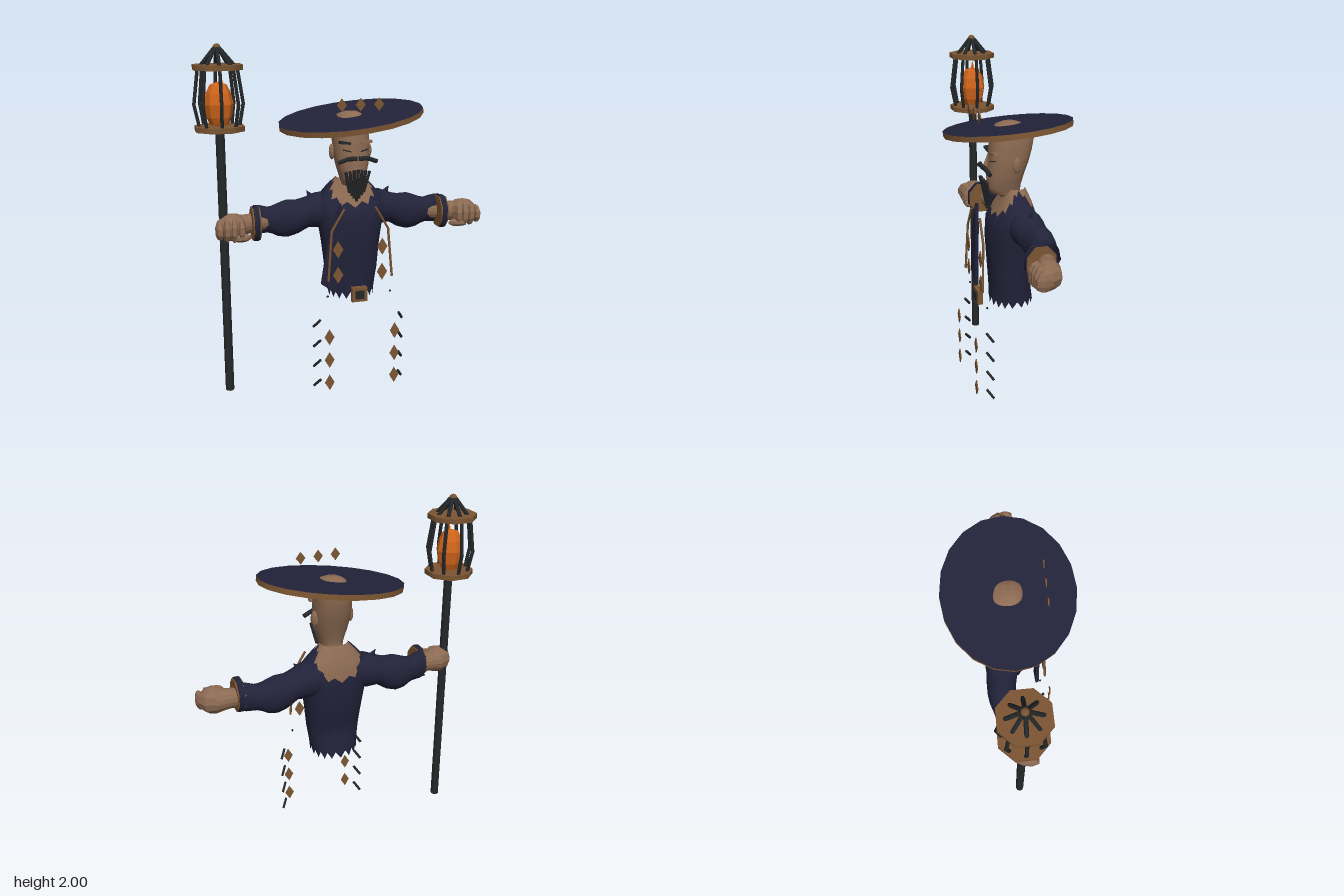
import * as THREE from 'three';

const CX = 0.04; // the figure's own middle line
const mat = (name, color, extra = {}) => Object.assign(new THREE.MeshStandardMaterial({ color, ...extra }), { name });

export function createModel() {
  const root = new THREE.Group();
  root.name = 'lanternBearer';
  const navy = mat('navy cloth', 0x22223a, { side: THREE.DoubleSide });
  const brown = mat('bronze', 0x7c5633);
  const skin = mat('skin', 0x8c6a52);
  const skinFlat = mat('skin', 0x8c6a52, { flatShading: true });
  const black = mat('black iron', 0x25282a);
  const fire = mat('flame', 0xd0651c, { flatShading: true });

  const add = (name, geo, m, x = 0, y = 0, z = 0, parent = root) => {
    const mesh = new THREE.Mesh(geo, m);
    mesh.name = name;
    mesh.position.set(x, y, z);
    parent.add(mesh);
    return mesh;
  };
  const V = (x, y, z) => new THREE.Vector3(x, y, z);

  // straight rod between two points
  const rod = (name, a, b, r, m, sides = 6, parent = root) => {
    const mesh = add(name, new THREE.CylinderGeometry(r, r, a.distanceTo(b), sides), m, 0, 0, 0, parent);
    mesh.position.copy(a).add(b).multiplyScalar(0.5);
    mesh.quaternion.setFromUnitVectors(V(0, 1, 0), b.clone().sub(a).normalize());
    return mesh;
  };

  // closed tube of points f(angle, t)
  const loft = (f, nu, nv) => {
    const pos = [], idx = [];
    for (let j = 0; j <= nv; j++)
      for (let i = 0; i < nu; i++) pos.push(...f((i / nu) * Math.PI * 2, j / nv, i));
    for (let j = 0; j < nv; j++)
      for (let i = 0; i < nu; i++) {
        const a = j * nu + i, b = j * nu + (i + 1) % nu;
        idx.push(a, b, b + nu, a, b + nu, a + nu);
      }
    const g = new THREE.BufferGeometry();
    g.setAttribute('position', new THREE.Float32BufferAttribute(pos, 3));
    g.setIndex(idx);
    g.computeVertexNormals();
    return g;
  };

  // linear lookup in rows sorted by their first number
  const sample = (rows, k) => {
    let i = 0;
    while (i < rows.length - 2 && k > rows[i + 1][0]) i++;
    const a = rows[i], b = rows[i + 1];
    const t = THREE.MathUtils.clamp((k - a[0]) / (b[0] - a[0]), 0, 1);
    return a.map((v, n) => v + (b[n] - v) * t);
  };

  // rows: height, half width, front z, back z
  const ringPoint = (row, th, s = 1) => {
    const [y, w, f, b] = row;
    const pw = v => Math.sign(v) * Math.abs(v) ** 0.85;
    return [CX + pw(Math.sin(th)) * w * s, y, (f + b) / 2 + pw(Math.cos(th)) * (f - b) / 2 * s];
  };

  // torso with a torn hem and a neckline dipping at front and back
  const body = [
    [0.53, 0.135, 0.11, -0.145], [0.6, 0.14, 0.106, -0.135], [0.7, 0.155, 0.11, -0.12], [0.85, 0.17, 0.12, -0.152],
    [0.95, 0.185, 0.125, -0.165], [1.05, 0.205, 0.115, -0.165], [1.12, 0.195, 0.08, -0.15],
    [1.18, 0.14, 0.05, -0.13], [1.24, 0.085, 0.03, -0.1]];
  add('coat', loft((th, t, i) => {
    const c = Math.abs(Math.cos(th));
    const hem = 0.55 + (i % 2 ? 0.025 : -0.015);
    const top = 1.235 - (Math.cos(th) > 0 ? 0.14 : 0.18) * c ** 1.5 + (i % 2 ? 0.015 : -0.015);
    return ringPoint(sample(body, hem + (top - hem) * t), th);
  }, 36, 20), navy);
  add('chest', loft((th, t) => ringPoint(sample(body, 0.95 + 0.29 * t), th, 0.93), 28, 12), skin);

  // neck and head
  const head = [
    [1.12, 0.1, 0.05, -0.13], [1.17, 0.075, 0.04, -0.1], [1.2, 0.066, 0.045, -0.08], [1.215, 0.062, 0.1, -0.072],
    [1.25, 0.072, 0.12, -0.072], [1.32, 0.092, 0.12, -0.09], [1.4, 0.103, 0.112, -0.118], [1.46, 0.103, 0.108, -0.135],
    [1.53, 0.1, 0.098, -0.148], [1.57, 0.09, 0.088, -0.138], [1.6, 0.073, 0.068, -0.095], [1.616, 0.04, 0.03, -0.05],
    [1.62, 0.002, 0, -0.004]];
  add('head', loft((th, t) => {
    const k = t * (head.length - 1), i = Math.min(Math.floor(k), head.length - 2);
    return ringPoint(head[i].map((v, n) => v + (head[i + 1][n] - v) * (k - i)), th);
  }, 28, (head.length - 1) * 2), skin);
  const nose = add('nose', new THREE.ConeGeometry(0.024, 0.1, 4), skinFlat, CX, 1.4, 0.122);
  nose.rotation.x = -0.15;
  add('lips', new THREE.SphereGeometry(0.025, 8, 6), skin, CX, 1.305, 0.108).scale.set(1.2, 0.5, 0.7);

  for (const s of [-1, 1]) {
    const ear = add('ear', new THREE.SphereGeometry(0.04, 8, 6), skinFlat, CX + s * 0.107, 1.39, -0.02);
    ear.scale.set(0.45, 1.15, 0.7);
    ear.rotation.y = s * 0.4;
    add('brow', new THREE.BoxGeometry(0.065, 0.014, 0.03), s < 0 ? black : skin, CX + s * 0.062, 1.455, 0.096).rotation.z = s * 0.12;
    add('eye', new THREE.BoxGeometry(0.05, 0.006, 0.009), black, CX + s * 0.05, 1.41, 0.102).rotation.set(0, s * 0.35, s * 0.2);
    rod('moustache', V(CX + s * 0.006, 1.372, 0.15), V(CX + s * 0.055, 1.372, 0.145), 0.014, black);
    rod('moustacheTip', V(CX + s * 0.05, 1.374, 0.146), V(CX + s * 0.113, 1.35, 0.135), 0.013, black);
  }
  // beard strands drawn together toward the tip
  for (let i = -3; i <= 3; i++)
    rod('beardStrand', V(CX + i * 0.023, 1.31 - Math.abs(i) * 0.004, 0.152 - Math.abs(i) * 0.003),
      V(CX + i * 0.014, 1.125 + Math.abs(i) * 0.017, 0.12), 0.009, black);

  // tilted straw hat: bronze edge, cloth faces
  const hat = add('hat', new THREE.CylinderGeometry(0.415, 0.415, 0.03, 20), [brown, navy, navy], CX, 1.585, 0);
  hat.rotation.set(0.08, 0, 0.125);
  hat.scale.z = 0.86;

  // thin diamond ornaments
  const diamond = (x, y, z, w, h) => {
    const shape = new THREE.Shape([[0, -h], [w, 0], [0, h], [-w, 0]].map(p => new THREE.Vector2(...p)));
    add('diamond', new THREE.ExtrudeGeometry(shape, { depth: 0.006, bevelEnabled: false }), brown, x, y, z - 0.003);
  };
  for (const dx of [-0.105, 0, 0.105]) diamond(CX + dx, 1.675, 0.19, 0.028, 0.036);

  // arms: reach, centre y, centre z, half height, half depth
  const sleeve = [
    [0.1, 1.05, -0.05, 0.1, 0.1], [0.19, 1.045, -0.055, 0.105, 0.1], [0.25, 1.035, -0.06, 0.09, 0.09],
    [0.3, 1.01, -0.07, 0.1, 0.085], [0.37, 1, -0.075, 0.112, 0.08], [0.42, 0.995, -0.075, 0.098, 0.072],
    [0.47, 1, -0.07, 0.075, 0.06], [0.53, 1.01, -0.06, 0.085, 0.058], [0.57, 1.01, -0.05, 0.088, 0.06]];
  const forearm = [
    [0.45, 1, -0.06, 0.05, 0.04], [0.58, 1, -0.025, 0.055, 0.05], [0.63, 0.995, -0.01, 0.06, 0.058], [0.7, 0.99, 0, 0.07, 0.07]];
  const limb = (rows, s, torn) => loft((th, t, i) => {
    const a0 = rows[0][0], a1 = rows[rows.length - 1][0];
    const [a, cy, cz, ry, rz] = sample(rows, a0 + (a1 - a0) * t);
    const rag = torn && t === 1 && i % 2 ? 0.03 : 0;
    return [CX + s * (a - rag), cy + ry * Math.cos(th), cz + s * rz * Math.sin(th)];
  }, 16, 16);

  for (const s of [-1, 1]) {
    const arm = new THREE.Group();
    arm.name = s > 0 ? 'leftArm' : 'rightArm';
    root.add(arm);
    add('sleeve', limb(sleeve, s, true), navy, 0, 0, 0, arm);
    add('forearm', limb(forearm, s, false), skinFlat, 0, 0, 0, arm);
    // pointed shoulder tip
    const tip = add('shoulderTip', new THREE.ConeGeometry(0.06, 0.13, 5), navy, CX + s * 0.215, 1.11, -0.06, arm);
    tip.rotation.z = -s * 0.6;
    // wrist guard
    for (const [dx, w, r, m] of [[0, 0.03, 0.102, navy], [-0.018, 0.01, 0.098, brown], [0.018, 0.01, 0.098, brown]]) {
      const band = add('cuff', new THREE.CylinderGeometry(r, r, w, 8).rotateY(Math.PI / 8).rotateZ(Math.PI / 2), m,
        CX + s * (0.56 + dx), 1.003, 0, arm);
      band.scale.z = 0.88;
    }
    // fist
    add('palm', new THREE.SphereGeometry(1, 8, 6), skinFlat, CX + s * 0.695, 0.993, 0.01, arm).scale.set(0.095, 0.08, 0.075);
    for (let i = 0; i < 4; i++) {
      const h = [0.066, 0.075, 0.07, 0.055][i];
      add('finger', new THREE.SphereGeometry(1, 6, 5), skinFlat, CX + s * (0.648 + i * 0.04), 0.985, 0.05, arm)
        .scale.set(0.026, h, 0.055);
    }
    const thumb = add('thumb', new THREE.SphereGeometry(1, 6, 5), skinFlat, CX + s * 0.65, 0.94, 0.06, arm);
    thumb.scale.set(0.06, 0.025, 0.035);

    // coat edging and ornaments
    const edge = [V(CX + s * 0.09, 1.1, 0.19), V(CX + s * 0.165, 0.975, 0.193), V(CX + s * 0.188, 0.69, 0.205)];
    rod('coatTrim', edge[0], edge[1], 0.007, brown);
    rod('coatTrim', edge[1], edge[2], 0.007, brown);
    for (const y of [0.87, 0.72]) diamond(CX + s * 0.13, y, 0.2, 0.03, 0.05);
    for (const y of [0.37, 0.23, 0.09]) diamond(CX + s * 0.195, y, 0.25, 0.028, 0.048);
    // slanted dark stitches
    for (let i = 0; i < 4; i++) {
      const y = 0.065 + i * 0.123;
      rod('stitch', V(CX + s * 0.236, y + 0.024, 0.2), V(CX + s * 0.268, y - 0.024, 0.165), 0.008, black);
    }
    add('stud', new THREE.SphereGeometry(0.007, 6, 4), black, CX + s * 0.187, 0.59, 0.18);
  }

  // hanging coat panel on the right
  const panel = new THREE.Shape([[-0.06, 1.125], [-0.125, 0.99], [-0.178, 0.66], [-0.09, 0.6], [-0.055, 0.98]]
    .map(p => new THREE.Vector2(...p)));
  add('coatPanel', new THREE.ExtrudeGeometry(panel, { depth: 0.02, bevelEnabled: false }), navy, 0, 0, 0.145);

  // belt buckle
  add('buckle', new THREE.BoxGeometry(0.09, 0.085, 0.03), brown, CX, 0.588, 0.18);
  add('buckleCentre', new THREE.BoxGeometry(0.054, 0.05, 0.008), black, CX, 0.588, 0.198);

  // staff and lantern
  const lantern = new THREE.Group();
  lantern.name = 'lanternStaff';
  lantern.position.x = -0.7;
  root.add(lantern);
  add('staff', new THREE.CylinderGeometry(0.025, 0.025, 1.54, 8), black, 0, 0.77, 0, lantern);
  for (const y of [1.55, 1.877])
    add('lanternPlate', new THREE.CylinderGeometry(0.14, 0.14, 0.028, 8).rotateY(Math.PI / 8), brown, 0, y, 0, lantern);
  for (let i = 0; i < 8; i++) {
    const c = Math.cos(i * Math.PI / 4), s = Math.sin(i * Math.PI / 4);
    const at = (r, y) => V(r * c, y, r * s);
    rod('cageBar', at(0.107, 1.55), at(0.133, 1.685), 0.01, black, 6, lantern);
    rod('cageBar', at(0.133, 1.675), at(0.105, 1.877), 0.01, black, 6, lantern);
    rod('roofBar', at(0.09, 1.885), at(0.015, 1.975), 0.011, black, 6, lantern);
  }
  add('finial', new THREE.SphereGeometry(0.022, 8, 6), brown, 0, 1.978, 0, lantern);
  const flame = [[0.001, 1.56], [0.05, 1.57], [0.068, 1.61], [0.08, 1.68], [0.068, 1.74], [0.045, 1.785], [0.001, 1.8]];
  add('flame', new THREE.LatheGeometry(flame.map(p => new THREE.Vector2(...p)), 8), fire, 0, 0, 0, lantern);
  add('flameTip', new THREE.ConeGeometry(0.022, 0.09, 5), fire, 0.015, 1.8, 0, lantern);
  return root;
}
